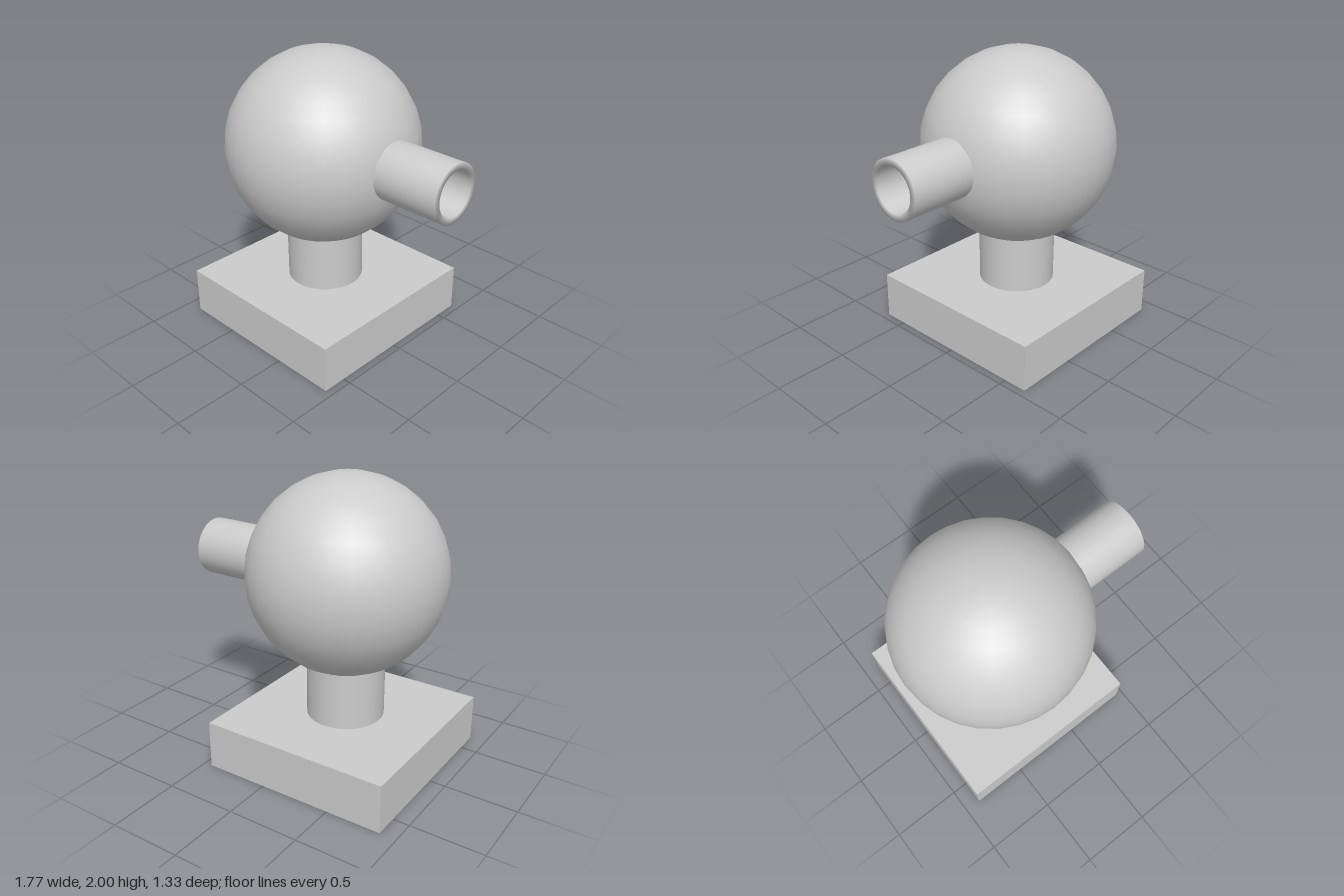
import * as THREE from 'three';

export function createModel() {
  const group = new THREE.Group();
  const mat = new THREE.MeshStandardMaterial({ color: 0xcccccc });
  const tubeMat = new THREE.MeshStandardMaterial({ color: 0xcccccc, side: THREE.DoubleSide });
  const axisX = -0.22; // shared axis of base, column and ball

  const add = (name, geometry, x, y, material = mat) => {
    const mesh = new THREE.Mesh(geometry, material);
    mesh.name = name;
    mesh.position.set(x, y, 0);
    group.add(mesh);
    return mesh;
  };

  // Square plinth
  add('base', new THREE.BoxGeometry(1.33, 0.333, 1.33), axisX, 0.1665);

  // Short column, running slightly into the ball
  add('column', new THREE.CylinderGeometry(0.265, 0.265, 0.43, 48), axisX, 0.333 + 0.215);

  // Ball
  add('ball', new THREE.SphereGeometry(0.665, 32, 16), axisX, 1.335);

  // Hollow side pipe: outer wall, flat rim, inner wall back to the ball
  const profile = [[0.198, 0], [0.198, 0.52], [0.152, 0.52], [0.152, 0]]
    .map(([r, h]) => new THREE.Vector2(r, h));
  const pipe = add('sidePipe', new THREE.LatheGeometry(profile, 48), 0.362, 1.335, tubeMat);
  pipe.rotation.z = -Math.PI / 2;

  return group;
}
